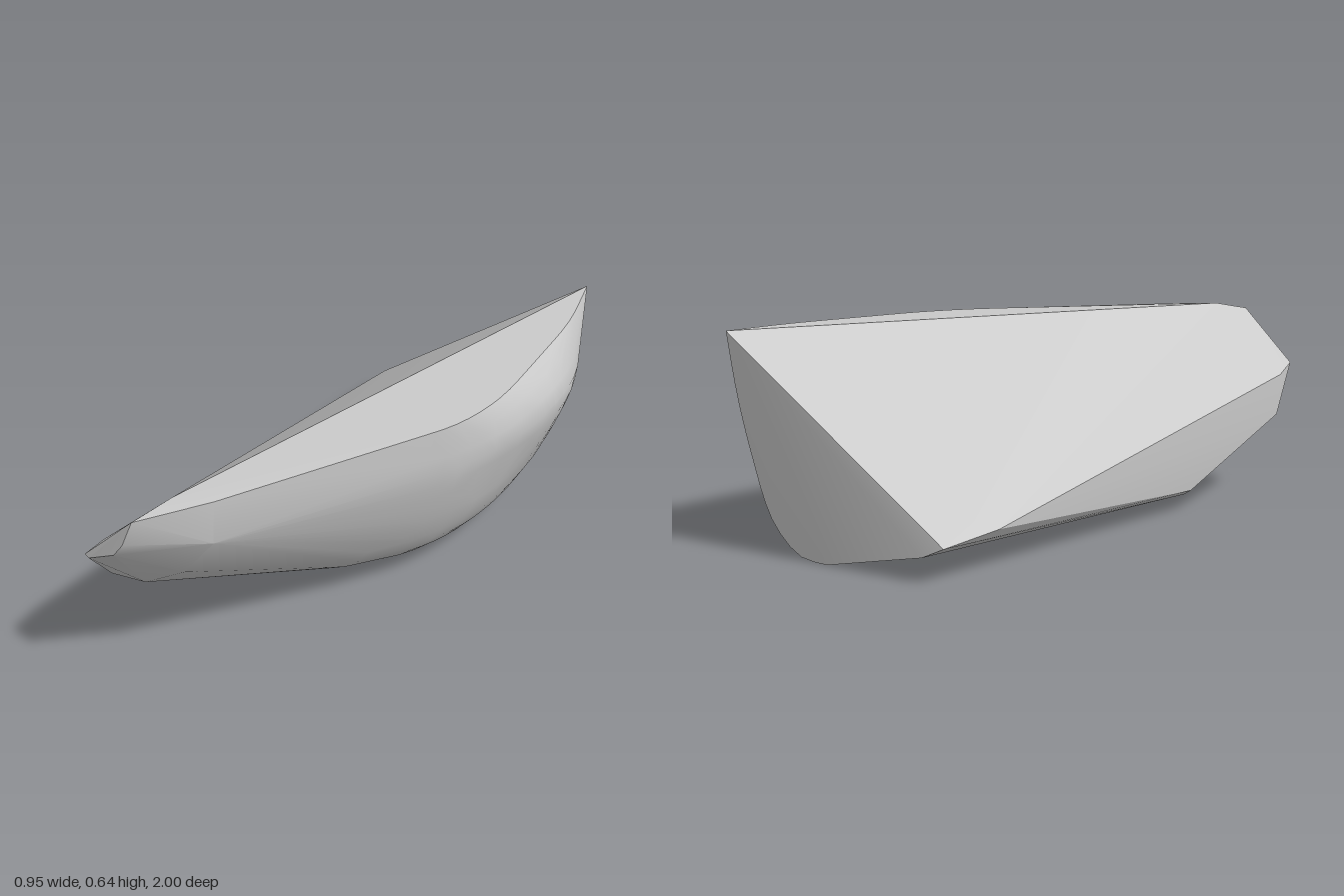
import * as THREE from 'three';
import { ConvexGeometry } from 'three/addons/geometries/ConvexGeometry.js';
import { toCreasedNormals } from 'three/addons/utils/BufferGeometryUtils.js';

// Cross-sections of the rounded flank: z, then [x, y] from top rim to belly
const sections = [
  [-0.995, [[0.35, 0.64], [0.31, 0.46], [0.255, 0.29], [0.17, 0.1], [0.06, 0.012], [-0.05, 0.002]]],
  [-0.7, [[0.395, 0.64], [0.43, 0.54], [0.44, 0.46], [0.385, 0.28], [0.31, 0.12], [0.2, 0.035], [0, 0.012]]],
  [-0.4, [[0.4, 0.64], [0.457, 0.56], [0.475, 0.48], [0.45, 0.38], [0.38, 0.22], [0.3, 0.08], [0.2, 0.028], [0, 0.016]]],
  [-0.1, [[0.395, 0.64], [0.425, 0.56], [0.43, 0.48], [0.4, 0.38], [0.35, 0.23], [0.27, 0.1], [0.18, 0.04], [0, 0.022]]],
  [0.1, [[0.345, 0.64], [0.35, 0.48], [0.32, 0.36], [0.27, 0.23], [0.2, 0.12], [0.1, 0.05], [-0.05, 0.028]]],
  [0.28, [[0.24, 0.64], [0.24, 0.52], [0.2, 0.36], [0.14, 0.22], [0.06, 0.12], [-0.1, 0.06], [-0.3, 0.047]]],
];

// Blunt nose, thin left edge and back corner: x, y, z
const corners = [
  [-0.085, 0.64, 0.81], [-0.09, 0.5, 0.82], [-0.2, 0.36, 0.82], [-0.35, 0.27, 0.82],
  [-0.2, 0.643, 0.85], [-0.25, 0.62, 0.98], [-0.28, 0.54, 0.995], [-0.31, 0.5, 1],
  [-0.42, 0.44, 0.98], [-0.45, 0.432, 0.96], [-0.475, 0.4, 0.84], [-0.475, 0.26, 0.82],
  [-0.475, 0.12, -0.75], [-0.455, 0.1, -0.96], [-0.39, 0.07, -0.975],
  [-0.455, 0.065, 0.28], [-0.425, 0.047, 0.29],
];

export function createModel() {
  const group = new THREE.Group();
  group.name = 'wedgeStone';
  const grey = new THREE.MeshStandardMaterial({ color: 0xcacaca });
  grey.name = 'lightGrey';

  // Sample every profile evenly, then sweep smoothly from back to front
  const points = corners.map((c) => new THREE.Vector3(...c));
  const profiles = sections.map(([z, profile]) => new THREE.CatmullRomCurve3(
    profile.map(([x, y]) => new THREE.Vector3(x, y, z)), false, 'centripetal'));
  const steps = 16;
  for (let i = 0; i <= steps; i++) {
    const rib = new THREE.CatmullRomCurve3(profiles.map((p) => p.getPointAt(i / steps)), false, 'centripetal');
    points.push(...rib.getPoints(20));
  }

  // Closed convex body with soft flank and sharp cut faces
  const body = new THREE.Mesh(toCreasedNormals(new ConvexGeometry(points), 0.35), grey);
  body.name = 'body';
  group.add(body);
  return group;
}
